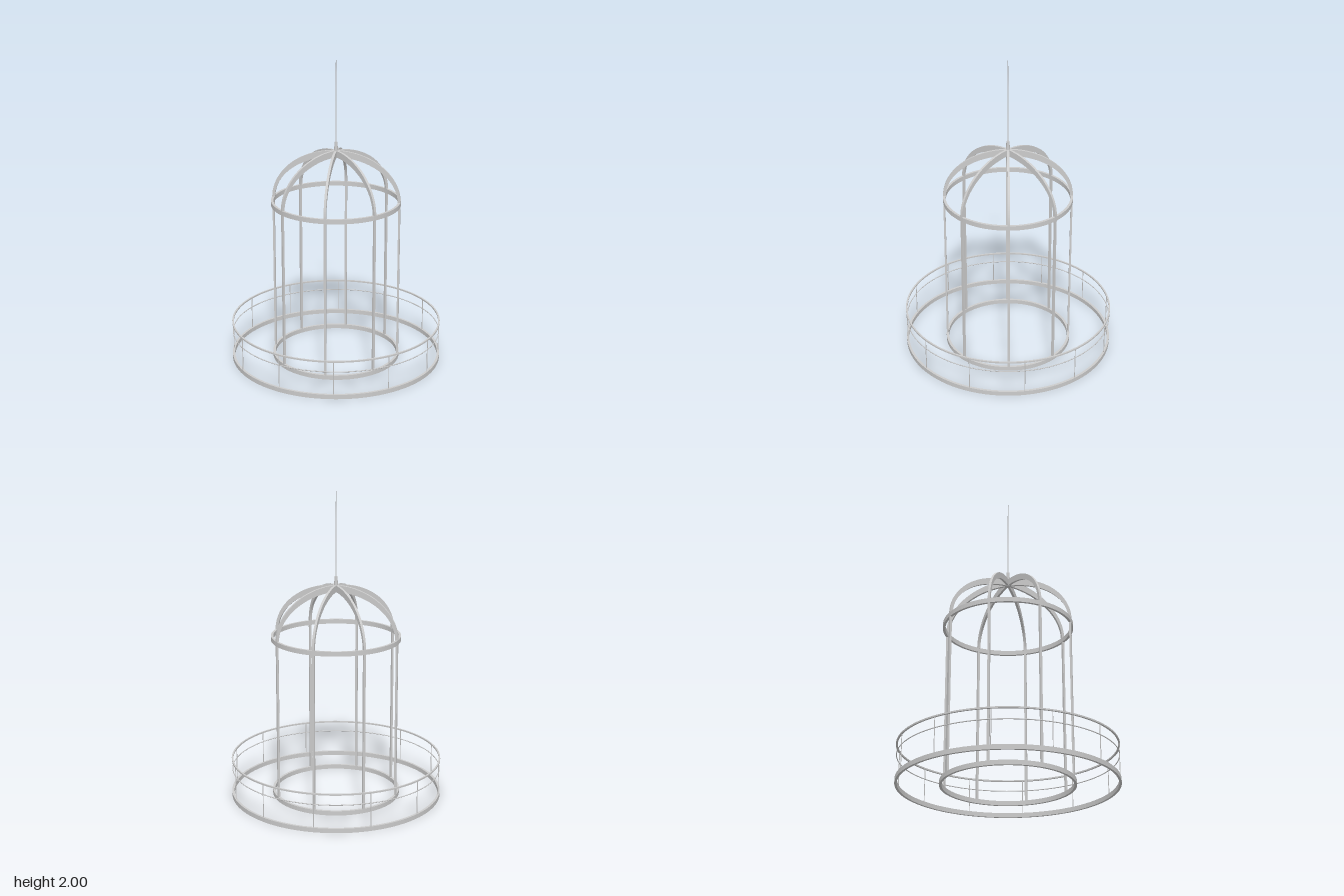
import * as THREE from 'three';

export function createModel() {
  const model = new THREE.Group();
  const mat = new THREE.MeshStandardMaterial({ color: 0xcccccc });

  const add = (name, geometry, parent = model) => {
    const mesh = new THREE.Mesh(geometry, mat);
    mesh.name = name;
    parent.add(mesh);
    return mesh;
  };

  // Flat band: a rectangle r0..r1 by y0..y1 swept round the axis, with crisp edges
  const band = (name, r0, r1, y0, y1) => {
    const shape = new THREE.Shape().absarc(0, 0, r1, 0, Math.PI * 2, false);
    shape.holes.push(new THREE.Path().absarc(0, 0, r0, 0, Math.PI * 2, true));
    const g = new THREE.ExtrudeGeometry(shape, { depth: y1 - y0, bevelEnabled: false, curveSegments: 48 });
    g.rotateX(-Math.PI / 2).translate(0, y0, 0);
    add(name, g);
  };

  // Repeat a part round the axis; angles run from +x towards +z
  const around = (name, count, startDegrees, build) => {
    for (let i = 0; i < count; i++) {
      const arm = new THREE.Group();
      arm.name = name;
      arm.rotation.y = -THREE.MathUtils.degToRad(startDegrees + i * 360 / count);
      build(arm);
      model.add(arm);
    }
  };

  // Rings of the gallery and the lantern cage
  band('galleryBase', 0.629, 0.643, 0, 0.027);
  band('cageBase', 0.376, 0.391, 0, 0.027);
  band('cageTopRing', 0.376, 0.391, 0.977, 1.005);

  // Gallery railing
  band('handrail', 0.632, 0.642, 0.229, 0.238);
  add('middleRail', new THREE.TorusGeometry(0.637, 0.003, 6, 72).rotateX(Math.PI / 2)).position.y = 0.169;
  const baluster = new THREE.CylinderGeometry(0.0026, 0.0026, 0.21, 6).translate(0.637, 0.128, 0);
  around('balusterArm', 12, 9, arm => add('baluster', baluster, arm));

  // Posts with curved roof ribs meeting at the top
  const post = new THREE.BoxGeometry(0.012, 0.97, 0.014).translate(0.384, 0.505, 0);
  const profile = new THREE.Shape();
  profile.moveTo(0.391, 1.0);
  profile.absellipse(0, 1.0, 0.391, 0.31, 0, Math.PI / 2, false, 0);
  profile.lineTo(0, 1.27);
  profile.absellipse(0, 1.0, 0.374, 0.27, Math.PI / 2, 0, true, 0);
  const rib = new THREE.ExtrudeGeometry(profile, { depth: 0.014, bevelEnabled: false, curveSegments: 20 });
  rib.translate(0, 0, -0.007);
  around('cageArm', 8, 2.2, arm => {
    add('post', post, arm);
    add('roofRib', rib, arm);
  });

  // Finial socket and tapering spike
  add('finialSocket', new THREE.CylinderGeometry(0.009, 0.014, 0.095, 16).translate(0, 1.315, 0));
  add('spike', new THREE.CylinderGeometry(0.0008, 0.0035, 0.64, 10).translate(0, 1.68, 0));

  return model;
}
